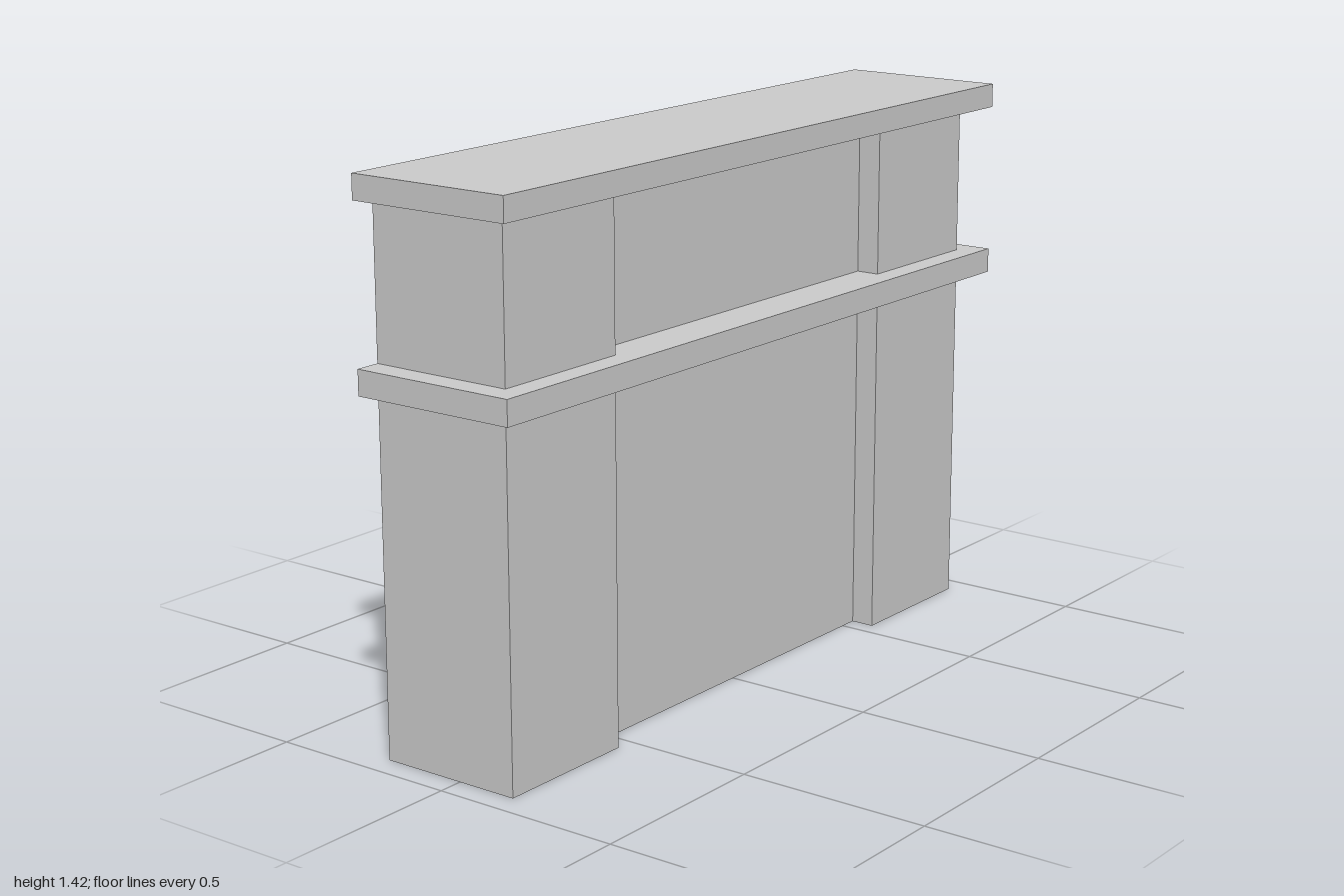
import * as THREE from 'three';

const BACK = -0.223, FRONT = 0.223;    // depth of the slabs
const PIER = 0.162, RECESS = 0.1;      // front planes of piers and centre panel
const HALF = 0.935, INNER = 0.547;     // half widths of body and recess

export function createModel() {
  const group = new THREE.Group();
  const material = new THREE.MeshStandardMaterial({ color: 0xcccccc, flatShading: true });

  const add = (name, geometry, y) => {
    const mesh = new THREE.Mesh(geometry, material);
    mesh.name = name;
    mesh.position.y = y;
    group.add(mesh);
  };

  // Plan of the body: two piers either side of a recessed panel (shape y is -z)
  const plan = new THREE.Shape([
    [-HALF, PIER], [-INNER, PIER], [-INNER, RECESS], [INNER, RECESS],
    [INNER, PIER], [HALF, PIER], [HALF, BACK], [-HALF, BACK],
  ].map(([x, z]) => new THREE.Vector2(x, -z)));

  const body = (name, y0, y1) => {
    const geometry = new THREE.ExtrudeGeometry(plan, { depth: y1 - y0, bevelEnabled: false });
    add(name, geometry.rotateX(-Math.PI / 2), y0);
  };

  // Overhanging shelf, flush with the body at the back
  const slab = (name, y0, y1) =>
    add(name, new THREE.BoxGeometry(2, y1 - y0, FRONT - BACK), (y0 + y1) / 2);

  body('lowerBody', 0, 0.906);
  slab('mantelShelf', 0.906, 0.97);
  body('upperBody', 0.97, 1.358);
  slab('topShelf', 1.358, 1.42);

  return group;
}
